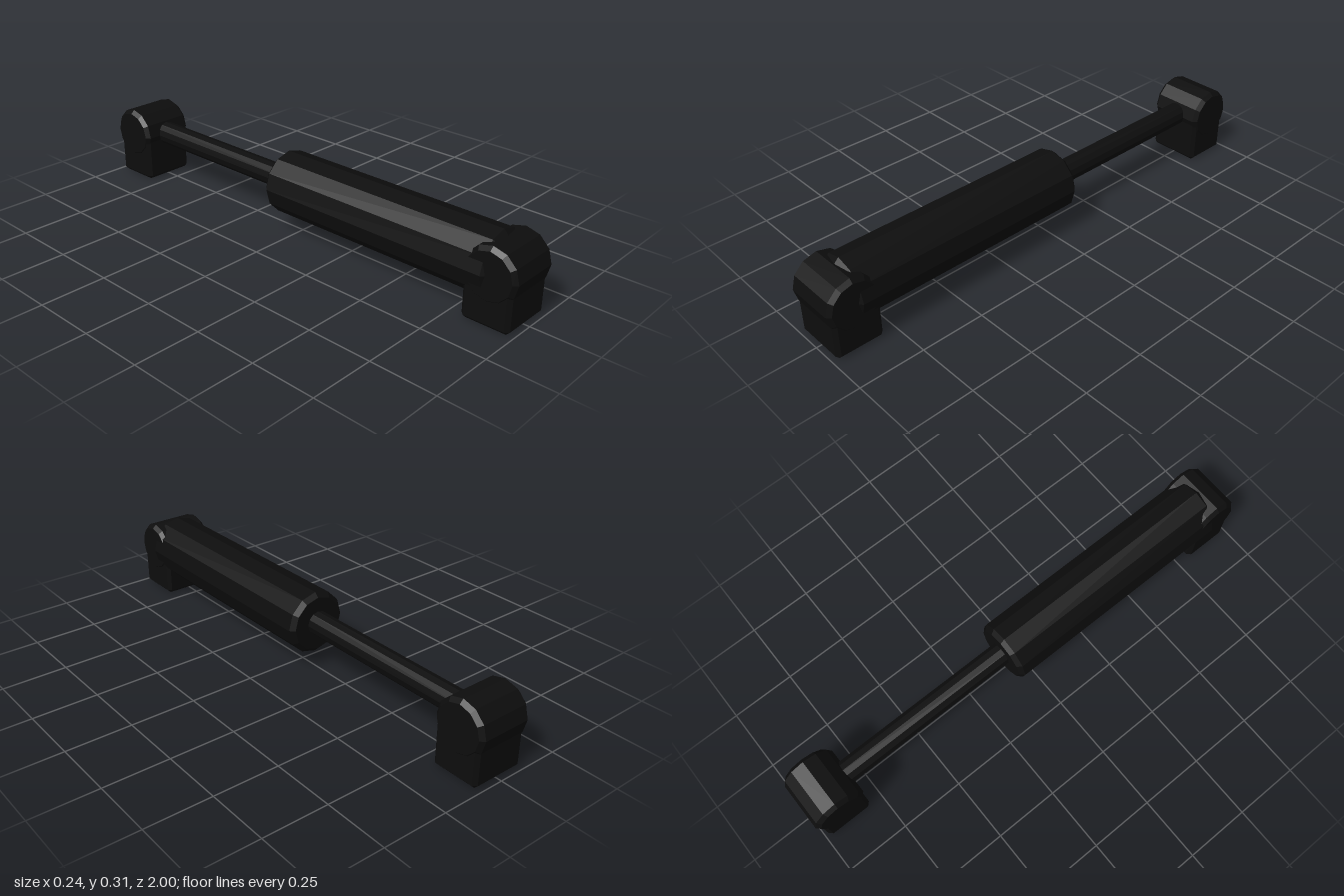
import * as THREE from 'three';
import { ConvexGeometry } from 'three/addons/geometries/ConvexGeometry.js';

const AXIS_Y = 0.187; // height of the piston axis

// Twelve-sided cylinder along y with chamfered rims
function chamferedCylinder(radius, length, bevel) {
  const h = length / 2;
  const profile = [
    [0, -h], [radius - bevel, -h], [radius, -h + bevel],
    [radius, h - bevel], [radius - bevel, h], [0, h],
  ].map(([x, y]) => new THREE.Vector2(x, y));
  return new THREE.LatheGeometry(profile, 12);
}

// Box with every edge cut by a flat chamfer
function chamferedBox(w, h, d, bevel) {
  const points = [];
  for (const x of [-1, 1]) for (const y of [-1, 1]) for (const z of [-1, 1]) {
    for (let face = 0; face < 3; face++) {
      points.push(new THREE.Vector3(
        x * (w / 2 - (face === 0 ? 0 : bevel)),
        y * (h / 2 - (face === 1 ? 0 : bevel)),
        z * (d / 2 - (face === 2 ? 0 : bevel)),
      ));
    }
  }
  return new ConvexGeometry(points);
}

export function createModel() {
  const model = new THREE.Group();
  model.name = 'hydraulicPiston';
  const blackMetal = new THREE.MeshStandardMaterial({ color: 0x0d0d0d, flatShading: true });
  blackMetal.name = 'black metal';

  const add = (name, geometry, x, y, z) => {
    const mesh = new THREE.Mesh(geometry, blackMetal);
    mesh.name = name;
    mesh.position.set(x, y, z);
    model.add(mesh);
  };

  // Barrel and sliding rod along z
  add('barrel', chamferedCylinder(0.122, 0.98, 0.017).rotateX(Math.PI / 2), 0, AXIS_Y - 0.001, 0.4);
  add('rod', new THREE.CylinderGeometry(0.046, 0.046, 0.87, 12).rotateX(Math.PI / 2), 0, AXIS_Y + 0.002, -0.465);

  // Mounting foot and pivot drum at both ends
  for (const [end, side] of [['front', 1], ['rear', -1]]) {
    add(end + 'Foot', chamferedBox(0.214, 0.19, 0.184, 0.014), 0, 0.095, side * 0.892);
    add(end + 'Pivot', chamferedCylinder(0.103, 0.22, 0.015).rotateZ(Math.PI / 2), 0, AXIS_Y + 0.002, side * 0.897);
  }
  return model;
}
